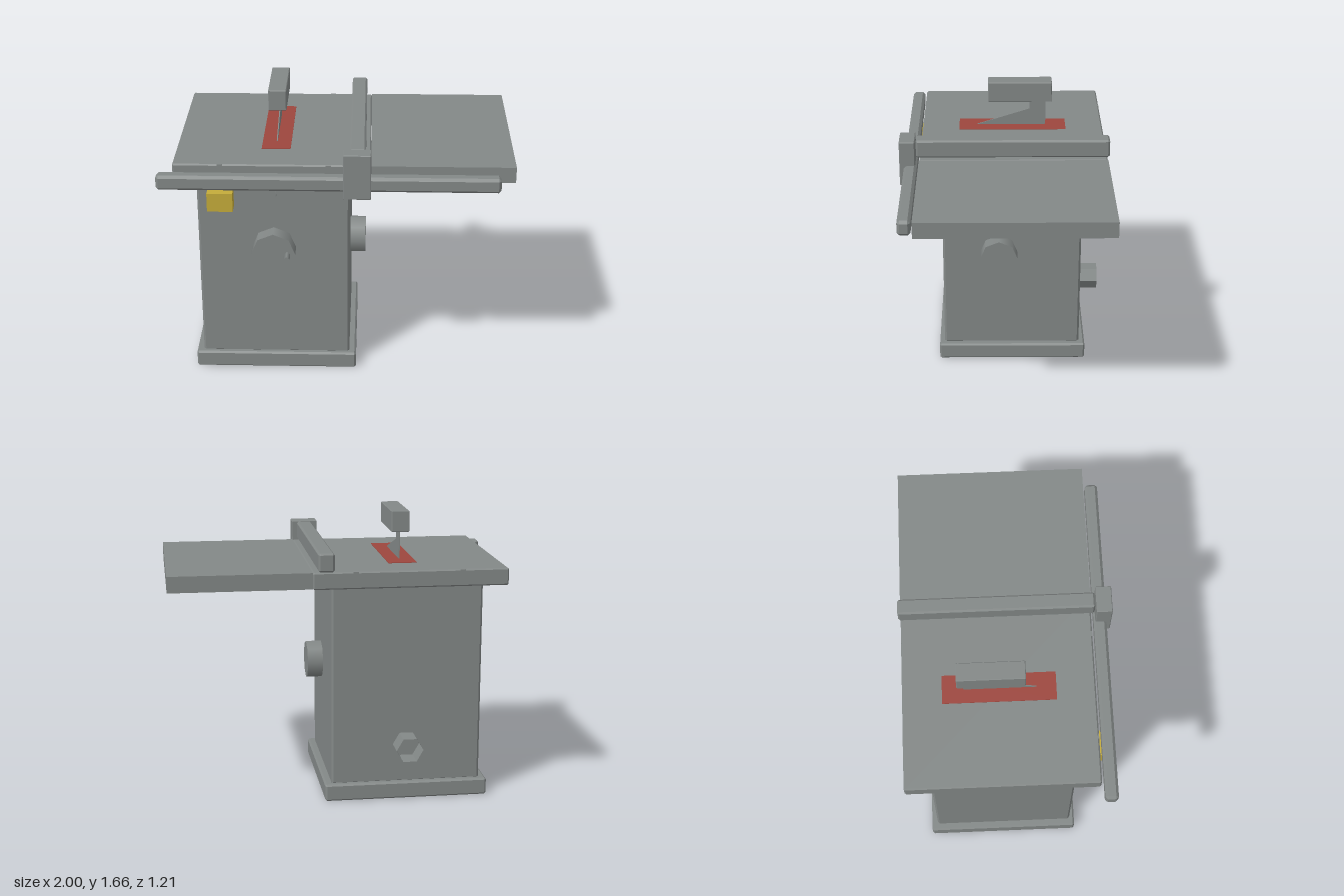
import * as THREE from 'three';
import { ConvexGeometry } from 'three/addons/geometries/ConvexGeometry.js';

export function createModel() {
  const model = new THREE.Group();
  model.name = 'tableSaw';

  const makeMaterial = (name, color) => {
    const m = new THREE.MeshStandardMaterial({ color });
    m.name = name;
    return m;
  };
  const grey = makeMaterial('machineGrey', 0x838887);
  const red = makeMaterial('insertRed', 0x9c463d);
  const yellow = makeMaterial('switchYellow', 0xc4ab3a);
  const portGrey = makeMaterial('openPortGrey', 0x838887);
  portGrey.side = THREE.DoubleSide;
  portGrey.flatShading = true;

  const add = (name, geometry, material = grey) => {
    const mesh = new THREE.Mesh(geometry, material);
    mesh.name = name;
    model.add(mesh);
    return mesh;
  };

  // Box between two limits per axis, with optional chamfered edges
  const box = (name, [x0, x1], [y0, y1], [z0, z1], chamfer = 0, material = grey) => {
    const h = [(x1 - x0) / 2, (y1 - y0) / 2, (z1 - z0) / 2];
    let geometry;
    if (chamfer) {
      const points = [];
      for (const sx of [-1, 1]) for (const sy of [-1, 1]) for (const sz of [-1, 1]) {
        for (let face = 0; face < 3; face++) {
          const d = h.map((v, i) => (i === face ? v : v - chamfer));
          points.push(new THREE.Vector3(sx * d[0], sy * d[1], sz * d[2]));
        }
      }
      geometry = new ConvexGeometry(points);
    } else {
      geometry = new THREE.BoxGeometry(h[0] * 2, h[1] * 2, h[2] * 2);
    }
    add(name, geometry, material).position.set((x0 + x1) / 2, (y0 + y1) / 2, (z0 + z1) / 2);
  };

  // Cylinder lying along z or x, centred on a position
  const disc = (name, axis, radius, length, sides, position) => {
    const geometry = new THREE.CylinderGeometry(radius, radius, length, sides);
    if (axis === 'z') geometry.rotateX(Math.PI / 2);
    else geometry.rotateZ(Math.PI / 2);
    add(name, geometry).position.set(...position);
  };

  const bladeX = -0.348;

  // Cabinet on its plinth
  box('base', [-0.84, 0.115], [0, 0.1], [-0.495, 0.4], 0.01);
  box('cabinet', [-0.8, 0.075], [0.09, 1.285], [-0.46, 0.37], 0.012);

  // Table top, side wing and the two guide slots
  box('tableTop', [-0.915, 0.195], [1.28, 1.378], [-0.593, 0.49], 0.008);
  box('extensionWing', [0.196, 1], [1.286, 1.378], [-0.595, 0.493]);
  for (const side of [-1, 1]) {
    const x = bladeX + side * 0.303;
    box('guideSlot', [x - 0.015, x + 0.015], [1.345, 1.377], [-0.593, 0.49]);
  }
  box('bladeInsert', [-0.43, -0.265], [1.375, 1.381], [-0.37, 0.27], 0, red);

  // Front rail and sliding fence
  box('frontRail', [-1, 0.915], [1.256, 1.343], [0.506, 0.58], 0.015);
  box('fence', [0.075, 0.165], [1.38, 1.486], [-0.605, 0.51], 0.01);
  box('fenceHead', [0.04, 0.195], [1.224, 1.49], [0.515, 0.605], 0.004);

  // Blade below the table, and the sloped fin that carries the guard
  disc('blade', 'x', 0.232, 0.006, 8, [bladeX, 1.145, 0.145]);
  const finShape = new THREE.Shape([
    [-0.16, 1.37], [-0.16, 1.382], [0.155, 1.482], [0.155, 1.56], [0.25, 1.56], [0.25, 1.37],
  ].map(([u, v]) => new THREE.Vector2(u, v)));
  const fin = new THREE.ExtrudeGeometry(finShape, { depth: 0.006, bevelEnabled: false });
  fin.translate(0, 0, -0.003);
  fin.rotateY(Math.PI / 2); // shape u runs towards -z
  add('guardFin', fin).position.x = bladeX;
  box('bladeGuard', [-0.4, -0.296], [1.542, 1.665], [-0.285, 0.095], 0.004);

  // Handwheels, crank and switch
  disc('frontHandwheel', 'z', 0.127, 0.105, 8, [-0.363, 0.803, 0.4125]);
  disc('crankHandle', 'z', 0.018, 0.075, 4, [-0.283, 0.803, 0.4925]);
  disc('sideHandwheel', 'x', 0.112, 0.1, 8, [0.116, 0.723, 0.034]);
  box('powerSwitch', [-0.72, -0.576], [1.125, 1.235], [0.49, 0.57], 0, yellow);

  // Open dust outlet at the back, flat side up
  const port = new THREE.CylinderGeometry(0.078, 0.078, 0.14, 6, 1, true);
  port.rotateY(Math.PI / 6);
  port.rotateX(Math.PI / 2);
  add('dustPort', port, portGrey).position.set(-0.363, 0.323, -0.52);

  return model;
}
